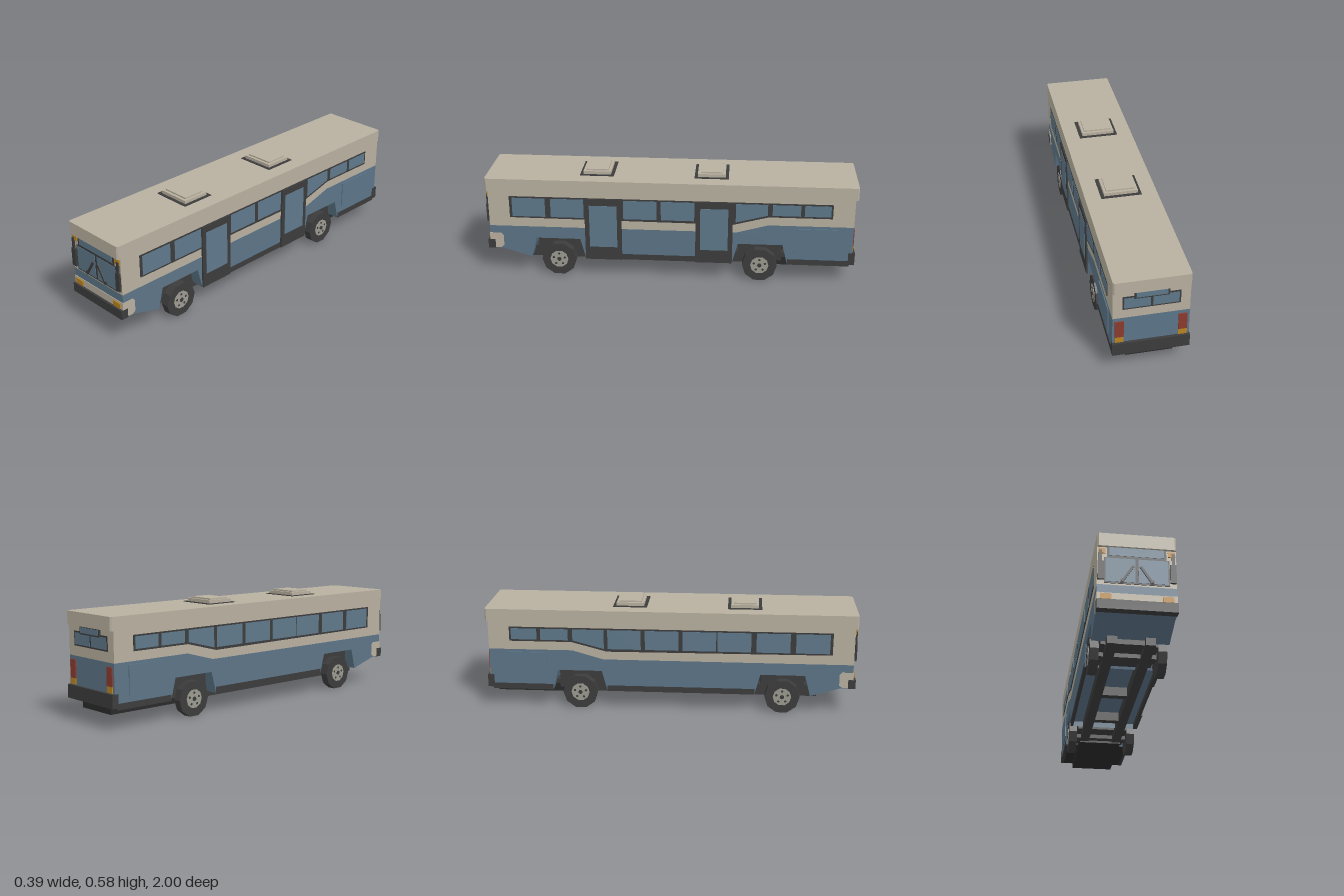
import * as THREE from 'three';

const mat = (name, color) => {
  const m = new THREE.MeshStandardMaterial({ color, flatShading: true });
  m.name = name;
  return m;
};

export function createModel() {
  const beige = mat('beige paint', 0xb8b09f);
  const blue = mat('blue paint', 0x5c7487);
  const glass = mat('window glass', 0x5f788a);
  const dark = mat('dark trim', 0x3c3c3c);
  const black = mat('black underbody', 0x2a2a2a);
  const amber = mat('amber lamp', 0xb9851f);
  const red = mat('red lamp', 0x8c3a2e);
  const steel = mat('wheel steel', 0x9c9a90);

  const root = new THREE.Group();
  root.name = 'bus';
  const bus = new THREE.Group();
  bus.name = 'coachwork';
  bus.position.x = -0.003;
  root.add(bus);

  const add = (name, geo, m, parent = bus) => {
    const mesh = new THREE.Mesh(geo, m);
    mesh.name = name;
    parent.add(mesh);
    return mesh;
  };
  // Box given by its limits on each axis
  const box = (name, m, x0, x1, y0, y1, z0, z1) => {
    const g = new THREE.BoxGeometry(x1 - x0, y1 - y0, z1 - z0);
    g.translate((x0 + x1) / 2, (y0 + y1) / 2, (z0 + z1) / 2);
    return add(name, g, m);
  };
  const pair = (name, m, x0, x1, ...r) => {
    box(name, m, x0, x1, ...r);
    box(name, m, -x1, -x0, ...r);
  };
  // Side outline of [z, y] points, extruded across from x0 to x1
  const slab = (name, m, pts, x0, x1) => {
    const shape = new THREE.Shape(pts.map(p => new THREE.Vector2(...p)));
    const g = new THREE.ExtrudeGeometry(shape, { depth: x1 - x0, bevelEnabled: false });
    g.rotateY(-Math.PI / 2);
    g.translate(x1, 0, 0);
    return add(name, g, m);
  };
  const plate = (name, m, pts, side, x0, x1) =>
    side > 0 ? slab(name, m, pts, x0, x1) : slab(name, m, pts, -x1, -x0);

  const W = 0.19, F = 0.985;
  const axles = [0.61, -0.49];

  // Lower body with wheel arches, and upper body above the rising paint line
  const arch = c => [[c + 0.15, 0.1], [c + 0.12, 0.215], [c - 0.12, 0.215], [c - 0.15, 0.1], [c - 0.15, 0.13]];
  const line = [[-F, 0.33], [-0.53, 0.33], [-0.36, 0.282], [F, 0.282]];
  slab('lowerBody', blue, [
    [F, 0.15], [0.92, 0.148], ...arch(axles[0]),
    [axles[1] + 0.15, 0.13], ...arch(axles[1]), [-F, 0.13], ...line], -W, W);
  slab('upperBody', beige, [...line, [F, 0.5], [-F, 0.5]], -W, W);

  // Roof with chamfered corners, overhanging both ends
  const c = 0.008;
  const plan = new THREE.Shape([[-W, -1 + c], [-W + c, -1], [W - c, -1], [W, -1 + c],
    [W, 1 - c], [W - c, 1], [-W + c, 1], [-W, 1 - c]].map(p => new THREE.Vector2(...p)));
  const roof = new THREE.ExtrudeGeometry(plan, { depth: 0.07, bevelEnabled: false });
  roof.rotateX(-Math.PI / 2);
  roof.translate(0, 0.485, 0);
  add('roof', roof, beige);

  // Roof hatches
  for (const z of [0.4, -0.22]) {
    box('hatchFrame', dark, -0.107, 0.107, 0.55, 0.558, z - 0.092, z + 0.092);
    box('hatchBase', beige, -0.09, 0.09, 0.55, 0.575, z - 0.075, z + 0.075);
    box('hatchLid', beige, -0.076, 0.076, 0.57, 0.583, z - 0.06, z + 0.06);
  }

  // Side windows, doors, access panels and skirts
  const rect = (z0, z1, y0, y1) => [[z0, y0], [z0, y1], [z1, y1], [z1, y0]];
  for (const s of [1, -1]) {
    plate('windowFrame', dark, [[0.87, 0.335], [0.87, 0.458], [-0.87, 0.458],
      [-0.87, 0.378], [-0.53, 0.378], [-0.34, 0.328]], s, W - 0.005, W + 0.003);
    for (const z of [0.855, 0.645, 0.437, 0.25, 0.047, -0.155]) {
      if (s > 0 && (z === 0.437 || z === -0.155)) continue;
      plate('sideWindow', glass, rect(z, z - 0.18, 0.343, 0.45), s, W, W + 0.0045);
    }
    plate('slopedWindow', glass, [[-0.355, 0.343], [-0.355, 0.45], [-0.525, 0.45], [-0.525, 0.388]], s, W, W + 0.0045);
    for (const [a, b] of [[-0.55, -0.7], [-0.72, -0.86]])
      plate('rearSideWindow', glass, rect(a, b, 0.388, 0.45), s, W, W + 0.0045);
    plate('enginePanel', blue, rect(-0.67, -0.9, 0.165, 0.315), s, W, W + 0.005);
    plate('skirt', dark, rect(0.46, -0.34, 0.1, 0.132), s, W - 0.015, W + 0.001);
    plate('rearSkirt', dark, rect(-0.64, -0.97, 0.1, 0.132), s, W - 0.015, W + 0.001);
    plate('cornerPanel', beige, [[F + 0.003, 0.152], [F + 0.003, 0.239], [0.925, 0.239],
      [0.913, 0.225], [0.913, 0.165], [0.93, 0.152]], s, W - 0.02, W + 0.002);
  }
  for (const z of [0.36, -0.24]) {
    box('door', dark, W - 0.005, 0.198, 0.1, 0.455, z - 0.1, z + 0.1);
    box('doorGlass', glass, 0.19, 0.2, 0.176, 0.418, z - 0.075, z + 0.075);
    box('doorSeam', dark, 0.19, 0.199, 0.1, 0.455, z + 0.09, z + 0.1);
  }

  // Front: paint band, windscreen, sign, lamps and bumper
  box('frontLowerBand', beige, -W, W, 0.19, 0.238, F - 0.01, F + 0.003);
  box('windscreenFrame', dark, -0.157, 0.157, 0.29, 0.43, F - 0.01, F + 0.003);
  box('signFrame', dark, -0.142, 0.142, 0.428, 0.486, F - 0.01, F + 0.003);
  box('signGlass', glass, -0.13, 0.13, 0.44, 0.485, F, F + 0.005);
  pair('windscreen', glass, 0.008, 0.15, 0.298, 0.426, F, F + 0.005);
  pair('upperSignal', amber, 0.15, 0.185, 0.45, 0.477, F, F + 0.006);
  pair('headlamp', amber, 0.121, 0.175, 0.202, 0.231, F, F + 0.009);
  box('frontBumper', dark, -0.193, 0.193, 0.148, 0.198, 0.96, 1);
  for (const s of [1, -1]) {
    const wiper = box('wiper', dark, -0.006, 0.006, -0.052, 0.052, -0.003, 0.003);
    wiper.position.set(s * 0.045, 0.342, F + 0.009);
    wiper.rotation.z = s * 0.56;
    box('wiperMotor', dark, s * 0.072 - 0.008, s * 0.072 + 0.008, 0.296, 0.314, F, F + 0.011);
  }
  pair('mirror', dark, 0.158, 0.188, 0.305, 0.404, F + 0.002, 0.998);
  pair('mirrorArm', dark, 0.168, 0.182, 0.4, 0.465, F + 0.002, 0.996);

  // Rear: windows, sign, lamps and bumper
  box('rearWindowFrame', dark, -0.142, 0.142, 0.382, 0.457, -F - 0.003, -F + 0.01);
  pair('rearWindow', glass, 0.006, 0.134, 0.39, 0.449, -F - 0.005, -F);
  box('rearSignFrame', dark, -0.085, 0.085, 0.445, 0.486, -F - 0.009, -F);
  box('rearSign', glass, -0.076, 0.076, 0.452, 0.48, -F - 0.011, -F);
  pair('tailLamp', red, 0.135, 0.178, 0.215, 0.31, -F - 0.006, -F);
  pair('rearSignal', amber, 0.135, 0.178, 0.183, 0.215, -F - 0.006, -F);
  box('rearBumper', dark, -0.193, 0.193, 0.11, 0.18, -1, -0.965);

  // Underbody
  pair('chassisRail', dark, 0.068, 0.118, 0.072, 0.135, -0.64, 0.8);
  box('engineFloor', black, -0.176, 0.176, 0.1, 0.135, -0.97, -0.64);
  box('engineTray', black, -0.12, 0.12, 0.065, 0.11, -0.96, -0.5);
  for (const z of [0.76, 0.15, -0.2])
    box('crossMember', dark, -0.118, 0.118, 0.08, 0.13, z - 0.02, z + 0.02);

  // Wheels, axles and arch liners
  const cyl = (name, m, r, x0, x1, y, z, n, parent) => {
    const g = new THREE.CylinderGeometry(r, r, x1 - x0, n);
    g.rotateZ(Math.PI / 2);
    g.translate((x0 + x1) / 2, y, z);
    add(name, g, m, parent);
  };
  for (const z of axles) {
    box('archLiner', dark, -0.142, 0.142, 0.1, 0.214, z - 0.118, z + 0.118);
    box('axle', dark, -0.15, 0.15, 0.078, 0.11, z - 0.03, z + 0.03);
    for (const s of [1, -1]) {
      const wheel = new THREE.Group();
      wheel.name = 'wheel';
      wheel.position.set(0, 0.0904, z);
      wheel.rotation.y = s > 0 ? 0 : Math.PI;
      bus.add(wheel);
      cyl('tyre', dark, 0.095, 0.146, 0.19, 0, 0, 10, wheel);
      cyl('rim', steel, 0.05, 0.18, 0.192, 0, 0, 10, wheel);
      cyl('hub', dark, 0.012, 0.18, 0.195, 0, 0, 8, wheel);
      for (let i = 0; i < 5; i++) {
        const a = Math.PI / 2 + i * Math.PI * 0.4;
        cyl('rimHole', dark, 0.007, 0.185, 0.193, 0.032 * Math.sin(a), 0.032 * Math.cos(a), 6, wheel);
      }
    }
  }
  return root;
}
